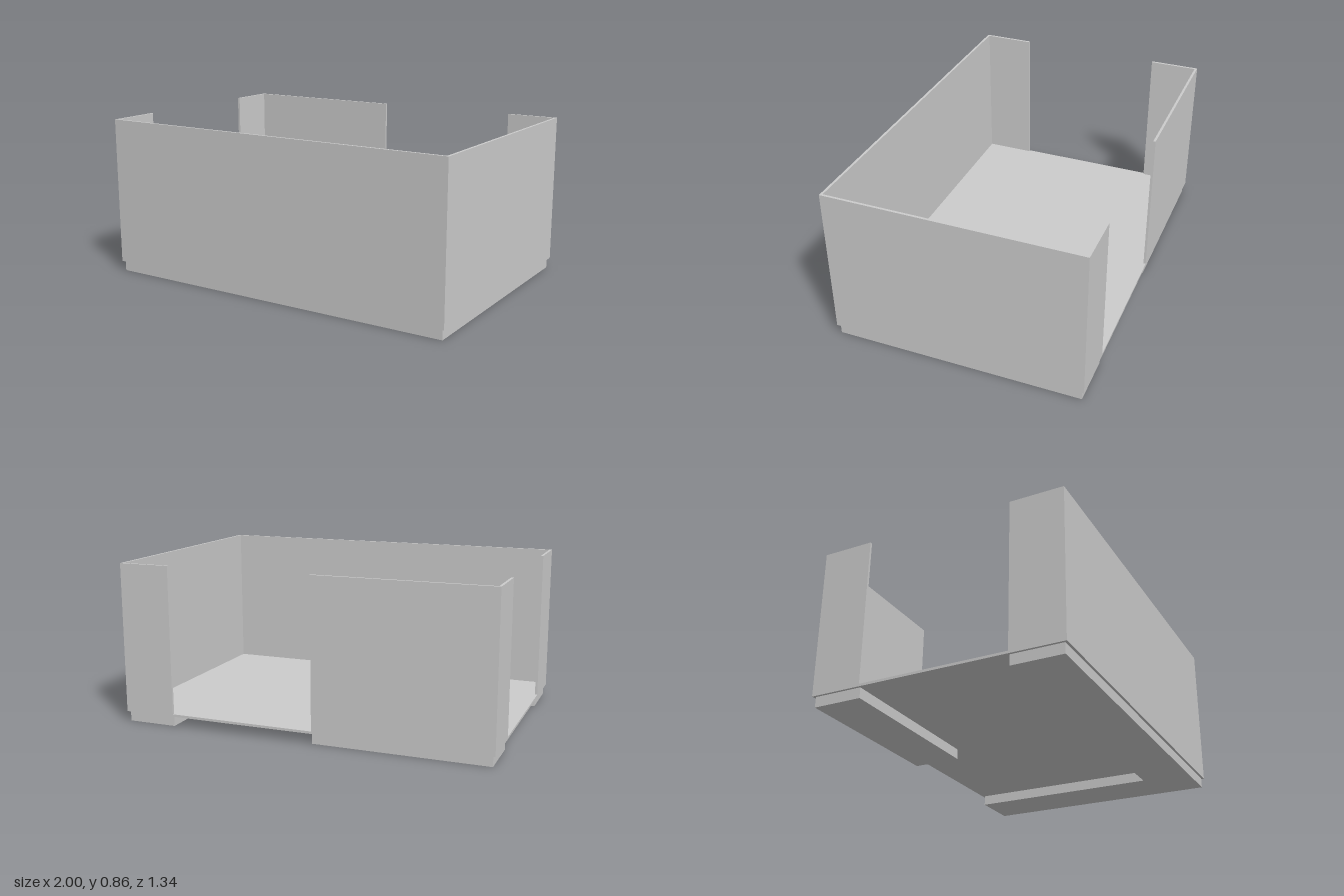
import * as THREE from 'three';

const W = 1, D = 0.672, T = 0.013;       // half width, half depth, wall thickness
const PLINTH_H = 0.055, WALL_H = 0.8;
const GAP_R = 0.72, GAP_L = -0.07;       // opening in the back wall (x)
const GAP_F = 0.39, GAP_B = -0.40;       // opening in the side wall (z)

export function createModel() {
  const group = new THREE.Group();
  const material = new THREE.MeshStandardMaterial({ color: 0xcccccc, flatShading: true });

  // Raises a plan outline, given as [x, z] corners, from height y by h
  const raise = (name, plan, y, h) => {
    const shape = new THREE.Shape(plan.map(([x, z]) => new THREE.Vector2(x, -z)));
    const geometry = new THREE.ExtrudeGeometry(shape, { depth: h, bevelEnabled: false });
    geometry.rotateX(-Math.PI / 2).translate(0, y, 0);
    const mesh = new THREE.Mesh(geometry, material);
    mesh.name = name;
    group.add(mesh);
  };

  const w = W - T, d = D - T;

  // Recessed plinths carrying the walls
  raise('mainPlinth', [
    [-w, d], [w, d], [w, -d], [GAP_R, -d], [GAP_R, GAP_F], [-w, GAP_F],
  ], 0, PLINTH_H);
  raise('cornerPlinth', [
    [-w, -d], [GAP_L, -d], [GAP_L, GAP_B], [-w, GAP_B],
  ], 0, PLINTH_H);

  // Thin floor, reaching the outer edge at both openings
  raise('floor', [
    [-w, d], [w, d], [w, -d], [GAP_R, -d], [GAP_R, -D], [GAP_L, -D], [GAP_L, -d],
    [-w, -d], [-w, GAP_B], [-W, GAP_B], [-W, GAP_F], [-w, GAP_F],
  ], PLINTH_H, T);

  // Wall wrapping the front and one side, with short returns
  raise('mainWall', [
    [-W, GAP_F], [-W, D], [W, D], [W, -D], [GAP_R, -D], [GAP_R, -d],
    [w, -d], [w, d], [-w, d], [-w, GAP_F],
  ], PLINTH_H, WALL_H);

  // Separate L-shaped wall at the back corner
  raise('cornerWall', [
    [-W, GAP_B], [-w, GAP_B], [-w, -d], [GAP_L, -d], [GAP_L, -D], [-W, -D],
  ], PLINTH_H, WALL_H);

  return group;
}
